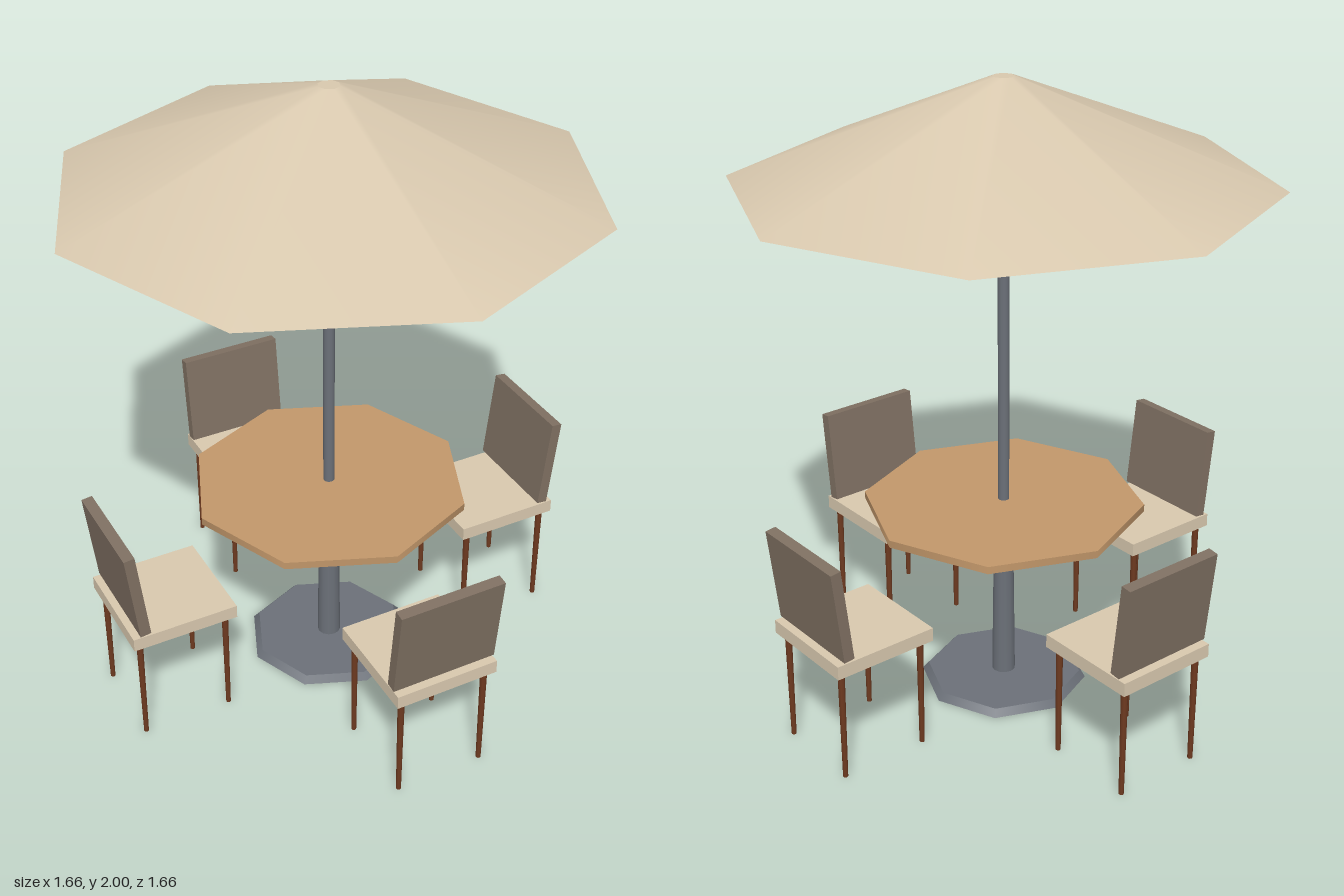
import * as THREE from 'three';

const material = (name, color) => {
  const m = new THREE.MeshStandardMaterial({ color });
  m.name = name;
  return m;
};

export function createModel() {
  const fabric = material('cream fabric', 0xd8c8ae);
  const backing = material('taupe fabric', 0x7f7062);
  const wood = material('table wood', 0xc2976a);
  const metal = material('grey metal', 0x6b7078);
  const legWood = material('dark leg wood', 0x6e3a20);

  const add = (parent, name, geometry, mat, x, y, z) => {
    const mesh = new THREE.Mesh(geometry, mat);
    mesh.name = name;
    mesh.position.set(x, y, z);
    parent.add(mesh);
    return mesh;
  };
  // Upright tapered cylinder standing between two heights
  const column = (parent, name, mat, rTop, rBottom, y0, y1, sides = 8, x = 0, z = 0) =>
    add(parent, name, new THREE.CylinderGeometry(rTop, rBottom, y1 - y0, sides), mat, x, (y0 + y1) / 2, z);

  const model = new THREE.Group();
  model.name = 'patioSet';

  // Parasol and table on a shared stand
  column(model, 'standBase', metal, 0.25, 0.27, 0, 0.022);
  column(model, 'pedestal', metal, 0.03, 0.038, 0.02, 0.626, 12);
  column(model, 'pole', metal, 0.018, 0.018, 0.6, 1.7, 12);
  column(model, 'tableTop', wood, 0.445, 0.445, 0.624, 0.648);
  column(model, 'canopy', fabric, 0.033, 0.83, 1.68, 2);

  // Four chairs facing the table
  for (let i = 0; i < 4; i++) {
    const chair = new THREE.Group();
    chair.name = 'chair';
    chair.rotation.y = i * Math.PI / 2;
    add(chair, 'seat', new THREE.BoxGeometry(0.345, 0.044, 0.34).rotateY(Math.PI / 2), fabric, 0, 0.387, 0.585);
    const back = add(chair, 'backrest', new THREE.BoxGeometry(0.345, 0.305, 0.035), backing, 0, 0.568, 0.735);
    back.rotation.x = 0.115;
    for (const x of [-0.143, 0.143])
      for (const z of [0.443, 0.73])
        column(chair, 'leg', legWood, 0.011, 0.008, 0, 0.367, 8, x, z);
    model.add(chair);
  }
  return model;
}
